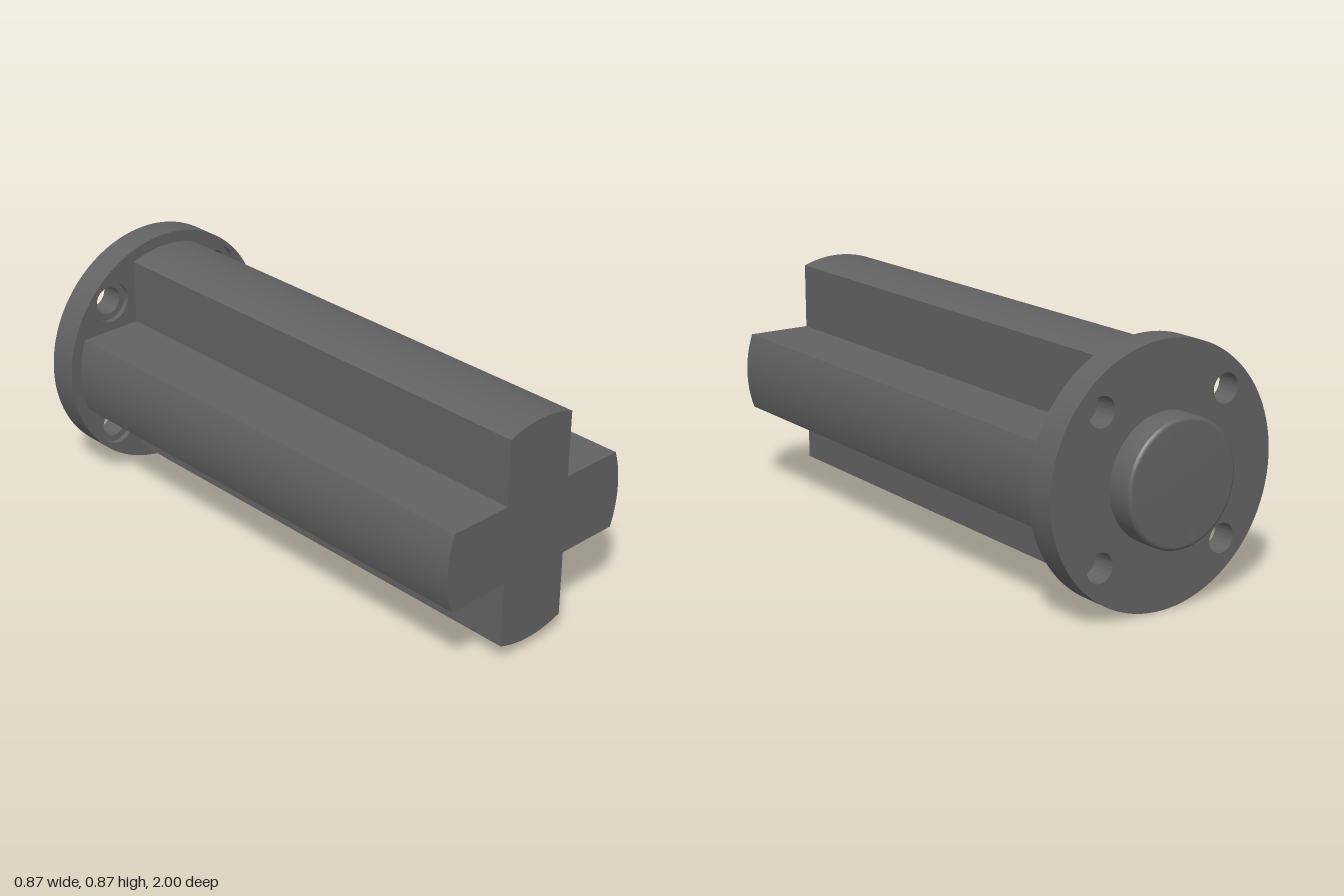
import * as THREE from 'three';
import { toCreasedNormals } from 'three/addons/utils/BufferGeometryUtils.js';

const R = 0.436;          // flange radius, also the height of the axis
const ARM_R = 0.394;      // radius of the rounded arm ends
const ARM_W = 0.138;      // half width of an arm
const HOLE_POS = 0.245;   // bolt hole offset on x and y
const Z_FRONT = 1, Z_FLANGE = -0.8, Z_BACK = -0.907, Z_END = -1;
const BORE_DEPTH = 0.02;

const material = new THREE.MeshStandardMaterial({ color: 0x626262 });

function addMesh(group, name, geometry) {
  const mesh = new THREE.Mesh(toCreasedNormals(geometry, 0.5), material);
  mesh.name = name;
  group.add(mesh);
}

// Extrude a shape between two z positions
function extrude(shape, z0, z1, curveSegments) {
  const geometry = new THREE.ExtrudeGeometry(shape, { depth: z1 - z0, bevelEnabled: false, curveSegments });
  return geometry.translate(0, 0, z0);
}

// Plus-shaped section whose arm ends follow a circle
function crossShape() {
  const shape = new THREE.Shape();
  const half = Math.asin(ARM_W / ARM_R);
  for (let i = 0; i < 4; i++) {
    const a = i * Math.PI / 2;
    shape.absarc(0, 0, ARM_R, a - half, a + half, false);
    const c = a + Math.PI / 4;
    shape.lineTo(ARM_W * Math.SQRT2 * Math.cos(c), ARM_W * Math.SQRT2 * Math.sin(c));
  }
  shape.closePath();
  return shape;
}

// Disc with four bolt holes
function discShape(holeRadius) {
  const shape = new THREE.Shape().absarc(0, 0, R, 0, Math.PI * 2, false);
  for (const sx of [-1, 1]) for (const sy of [-1, 1]) {
    shape.holes.push(new THREE.Path().absarc(sx * HOLE_POS, sy * HOLE_POS, holeRadius, 0, Math.PI * 2, true));
  }
  return shape;
}

export function createModel() {
  const model = new THREE.Group();
  model.name = 'crossShaft';

  addMesh(model, 'crossBar', extrude(crossShape(), Z_FLANGE, Z_FRONT, 20));

  // Flange: counterbored front layer over a layer with the through holes
  const flange = new THREE.Group();
  flange.name = 'flange';
  addMesh(flange, 'counterboreLayer', extrude(discShape(0.073), Z_FLANGE - BORE_DEPTH, Z_FLANGE, 64));
  addMesh(flange, 'throughHoleLayer', extrude(discShape(0.05), Z_BACK, Z_FLANGE - BORE_DEPTH, 64));
  model.add(flange);

  // Rear locating boss with a small rounded rim; narrow bands keep its side and end face flat
  const r = 0.212, h = Z_BACK - Z_END, f = 0.015, band = 0.002;
  const profile = [new THREE.Vector2(r, 0), new THREE.Vector2(r, h - f - band)];
  for (let i = 0; i <= 6; i++) {
    const a = i / 6 * Math.PI / 2;
    profile.push(new THREE.Vector2(r - f + f * Math.cos(a), h - f + f * Math.sin(a)));
  }
  profile.push(new THREE.Vector2(r - f - band, h), new THREE.Vector2(0, h));
  const boss = new THREE.LatheGeometry(profile, 80).rotateX(-Math.PI / 2).translate(0, 0, Z_BACK);
  addMesh(model, 'rearBoss', boss);

  for (const part of model.children) part.position.y = R;
  return model;
}
